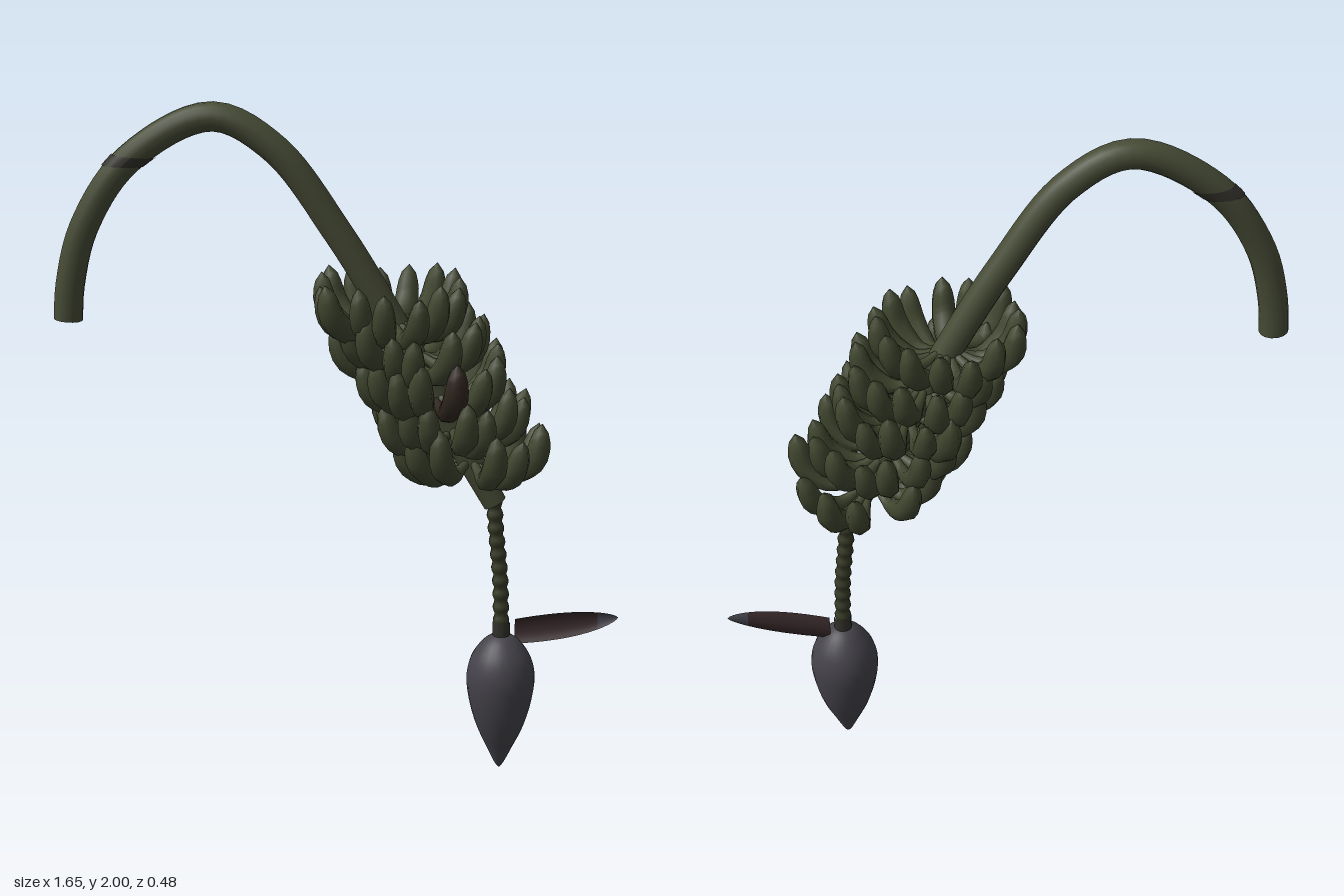
import * as THREE from 'three';
import { mergeVertices } from 'three/addons/utils/BufferGeometryUtils.js';

const mat = (name, color, side = THREE.FrontSide) => {
  const m = new THREE.MeshStandardMaterial({ color, side });
  m.name = name;
  return m;
};
const V = (x, y, z = 0) => new THREE.Vector3(x, y, z);

// Tube along a curve whose radius follows a rule of u (0..1)
function sweep(curve, segments, sides, radius) {
  const g = new THREE.TubeGeometry(curve, segments, 1, sides, false);
  const p = g.attributes.position, v = V(0, 0);
  for (let i = 0; i <= segments; i++) {
    const c = curve.getPointAt(i / segments), r = radius(i / segments);
    for (let j = 0; j <= sides; j++) {
      const k = i * (sides + 1) + j;
      v.fromBufferAttribute(p, k).sub(c).multiplyScalar(r).add(c);
      p.setXYZ(k, v.x, v.y, v.z);
    }
  }
  g.deleteAttribute('uv');
  g.deleteAttribute('normal');
  const merged = mergeVertices(g, 1e-5);
  merged.computeVertexNormals();
  return merged;
}

// Linear interpolation through [u, value] pairs
const ramp = (stops) => (u) => {
  for (let i = 1; i < stops.length; i++) {
    const [a, ra] = stops[i - 1], [b, rb] = stops[i];
    if (u <= b) return ra + (rb - ra) * (u - a) / (b - a);
  }
  return stops[stops.length - 1][1];
};

// Cupped leaf surface between two stations along its length
function leaf(u0, u1) {
  const g = new THREE.PlaneGeometry(1, 2, 10, 8);
  const p = g.attributes.position;
  for (let i = 0; i < p.count; i++) {
    const u = u0 + (u1 - u0) * (p.getX(i) + 0.5), v = p.getY(i);
    const half = 0.039 * Math.pow(Math.max(0, 1 - u * u), 0.7) * (1 + 0.5 * u);
    p.setXYZ(i, 0.52 + 0.302 * u, 0.433 + 0.057 * u + half * v,
      -0.02 + 0.042 * u + 0.3 * half * v * v);
  }
  g.computeVertexNormals();
  return g;
}

export function createModel() {
  const root = new THREE.Group();
  root.name = 'fruitBunch';
  const stalkGreen = mat('stalk green', 0x464b35);
  const fruitGreen = mat('fruit green', 0x40462f);
  const fruitBrown = mat('fruit brown', 0x30271f);
  const bandBrown = mat('band brown', 0x31302a);
  const stemGreen = mat('stem green', 0x363926);
  const budGrey = mat('bud grey', 0x45434a);
  const bractRed = mat('bract red', 0x37282a, THREE.DoubleSide);
  const bractGrey = mat('bract grey', 0x45434b, THREE.DoubleSide);

  const add = (name, geometry, material, parent = root) => {
    const m = new THREE.Mesh(geometry, material);
    m.name = name;
    parent.add(m);
    return m;
  };

  // Arched main stalk with flat ends
  const arch = new THREE.CatmullRomCurve3([
    V(-0.785, 1.368, -0.045), V(-0.776, 1.47, -0.043), V(-0.73, 1.64, -0.038),
    V(-0.6, 1.832, -0.03), V(-0.36, 1.957, -0.012), V(-0.185, 1.87),
    V(-0.008, 1.635), V(0.13, 1.41), V(0.29, 1.12), V(0.453, 0.835),
  ]);
  const archRadius = ramp([[0, 0.042], [0.8, 0.042], [0.95, 0.037], [1, 0.035]]);
  add('stalk', sweep(arch, 64, 14, archRadius), stalkGreen);
  for (const [u, sign] of [[0, -1], [1, 1]]) {
    const cap = add('stalkEnd', new THREE.CircleGeometry(archRadius(u), 14), stalkGreen);
    cap.position.copy(arch.getPointAt(u));
    cap.quaternion.setFromUnitVectors(V(0, 0, 1), arch.getTangentAt(u).multiplyScalar(sign));
  }

  // Slanted dark scar around the stalk, bent to follow the arch
  const scar = new THREE.CylinderGeometry(0.0437, 0.0437, 0.042, 20, 4, true);
  const sp = scar.attributes.position;
  for (let i = 0; i < sp.count; i++) {
    const y = sp.getY(i) + sp.getX(i);
    sp.setXYZ(i, sp.getX(i) + y * y / 0.9, y, sp.getZ(i));
  }
  scar.computeVertexNormals();
  const scarMesh = add('stalkScar', scar, bandBrown);
  scarMesh.position.copy(arch.getPoint(3 / 9));
  scarMesh.quaternion.setFromUnitVectors(V(0, 1), arch.getTangent(3 / 9));

  // Fruit: bent outward, then up
  const bend = new THREE.CatmullRomCurve3([
    V(0.025, 0), V(0.11, -0.025), V(0.182, 0.02), V(0.21, 0.125),
  ]);
  const fruitShape = sweep(bend, 12, 7, ramp([
    [0, 0.011], [0.2, 0.016], [0.38, 0.03], [0.6, 0.036], [0.8, 0.032],
    [0.92, 0.021], [0.96, 0.014], [0.999, 0.012], [1, 0.0005],
  ]));
  let seed = 7;
  const rand = () => (seed = (seed * 16807) % 2147483647) / 2147483647;
  const hands = 5, perHand = 15, lastHandGaps = [0, 4, 11];
  for (let h = 0; h < hands; h++) {
    const t = h / (hands - 1);
    const hand = new THREE.Group();
    hand.name = 'hand';
    hand.position.set(0.145 + 0.235 * t, 1.38 - 0.435 * t, 0);
    root.add(hand);
    for (let i = 0; i < perHand; i++) {
      if (h === hands - 1 && lastHandGaps.includes(i)) continue;
      const brown = h === 2 && i === 12;
      const f = add('fruit', fruitShape, brown ? fruitBrown : fruitGreen, hand);
      const a = ((i + (h % 2) * 0.5) / perHand) * Math.PI * 2;
      f.rotation.set(0, a + (rand() - 0.5) * 0.18, (rand() - 0.5) * 0.18);
      f.scale.setScalar(0.96 + rand() * 0.1);
      f.position.y = (rand() - 0.5) * 0.035;
    }
  }

  // Knobbly lower stem with a dark collar above the bud
  const lower = new THREE.CatmullRomCurve3([
    V(0.45, 0.85), V(0.458, 0.75), V(0.473, 0.6), V(0.48, 0.4),
  ]);
  add('lowerStem', sweep(lower, 60, 10,
    (u) => 0.0225 + 0.003 * Math.sin(u * Math.PI * 22)), stemGreen);
  add('budCollar', new THREE.CylinderGeometry(0.0262, 0.0262, 0.045, 12, 1, true), bandBrown)
    .position.set(0.479, 0.445, 0);

  // Hanging flower bud
  const outline = [
    [0, 0.0], [0.014, 0.018], [0.039, 0.07], [0.067, 0.13], [0.089, 0.2], [0.101, 0.27],
    [0.099, 0.32], [0.084, 0.365], [0.055, 0.405], [0.028, 0.425], [0, 0.432],
  ].map(([x, y]) => new THREE.Vector2(x, y));
  const smooth = new THREE.SplineCurve(outline).getPoints(30);
  smooth.forEach((p) => { p.x = Math.max(0, p.x); });
  add('bud', new THREE.LatheGeometry(smooth, 24), budGrey).position.x = 0.48;

  // Lifted bract with a grey tip
  add('bract', leaf(0, 0.8), bractRed);
  add('bractTip', leaf(0.8, 1), bractGrey);

  return root;
}
